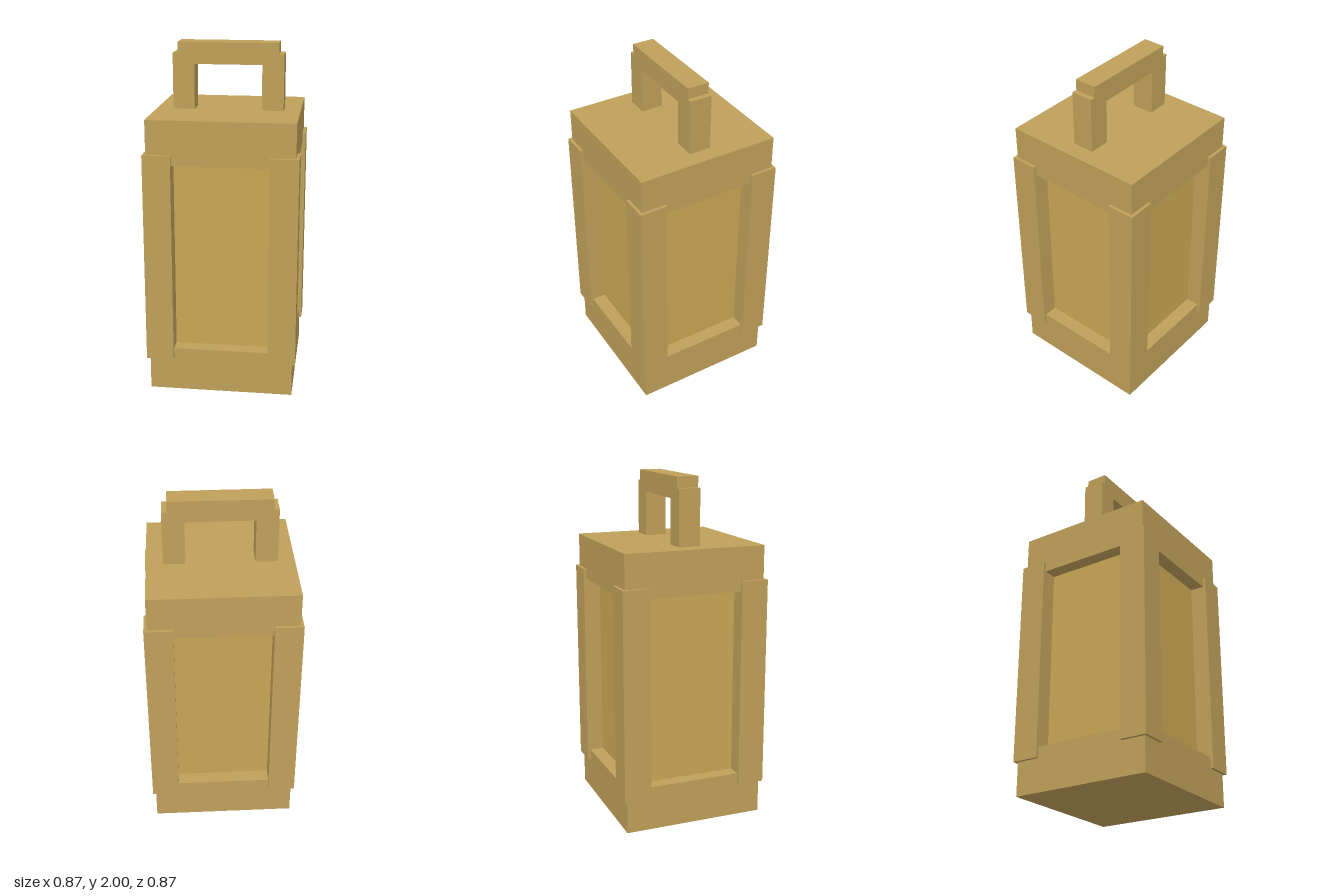
import * as THREE from 'three';

export function createModel() {
  const model = new THREE.Group();
  model.name = 'lantern';

  const frame = new THREE.MeshStandardMaterial({ color: 0xc0a05a });
  frame.name = 'frame tan';
  const glow = new THREE.MeshStandardMaterial({ color: 0xc9a653 });
  glow.name = 'pane gold';

  // Box spanning y0..y1, centred on x and z
  function addBox(name, material, width, y0, y1, depth, x = 0, z = 0) {
    const mesh = new THREE.Mesh(new THREE.BoxGeometry(width, y1 - y0, depth), material);
    mesh.position.set(x, (y0 + y1) / 2, z);
    mesh.name = name;
    model.add(mesh);
  }

  // Base, cap and the recessed panes between them
  addBox('base', frame, 0.834, 0, 0.26, 0.834);
  addBox('cap', frame, 0.834, 1.36, 1.615, 0.834);
  addBox('panes', glow, 0.67, 0.26, 1.36, 0.67);

  // Four corner posts, slightly proud of the base and cap
  for (const x of [-1, 1]) {
    for (const z of [-1, 1]) {
      addBox('cornerPost', frame, 0.16, 0.195, 1.42, 0.16, x * 0.355, z * 0.355);
    }
  }

  // Arched handle: half outline mirrored, with a notch at each upper corner
  const half = [[0.195, 1.615], [0.32, 1.615], [0.32, 1.937], [0.29, 1.937], [0.29, 2]];
  const points = [
    [0.195, 1.875],
    ...half,
    ...half.map(([x, y]) => [-x, y]).reverse(),
    [-0.195, 1.875],
  ].map(([x, y]) => new THREE.Vector2(x, y));
  const depth = 0.127;
  const geometry = new THREE.ExtrudeGeometry(new THREE.Shape(points), { depth, bevelEnabled: false });
  geometry.translate(0, 0, -depth / 2);
  const handle = new THREE.Mesh(geometry, frame);
  handle.name = 'handle';
  model.add(handle);

  return model;
}
